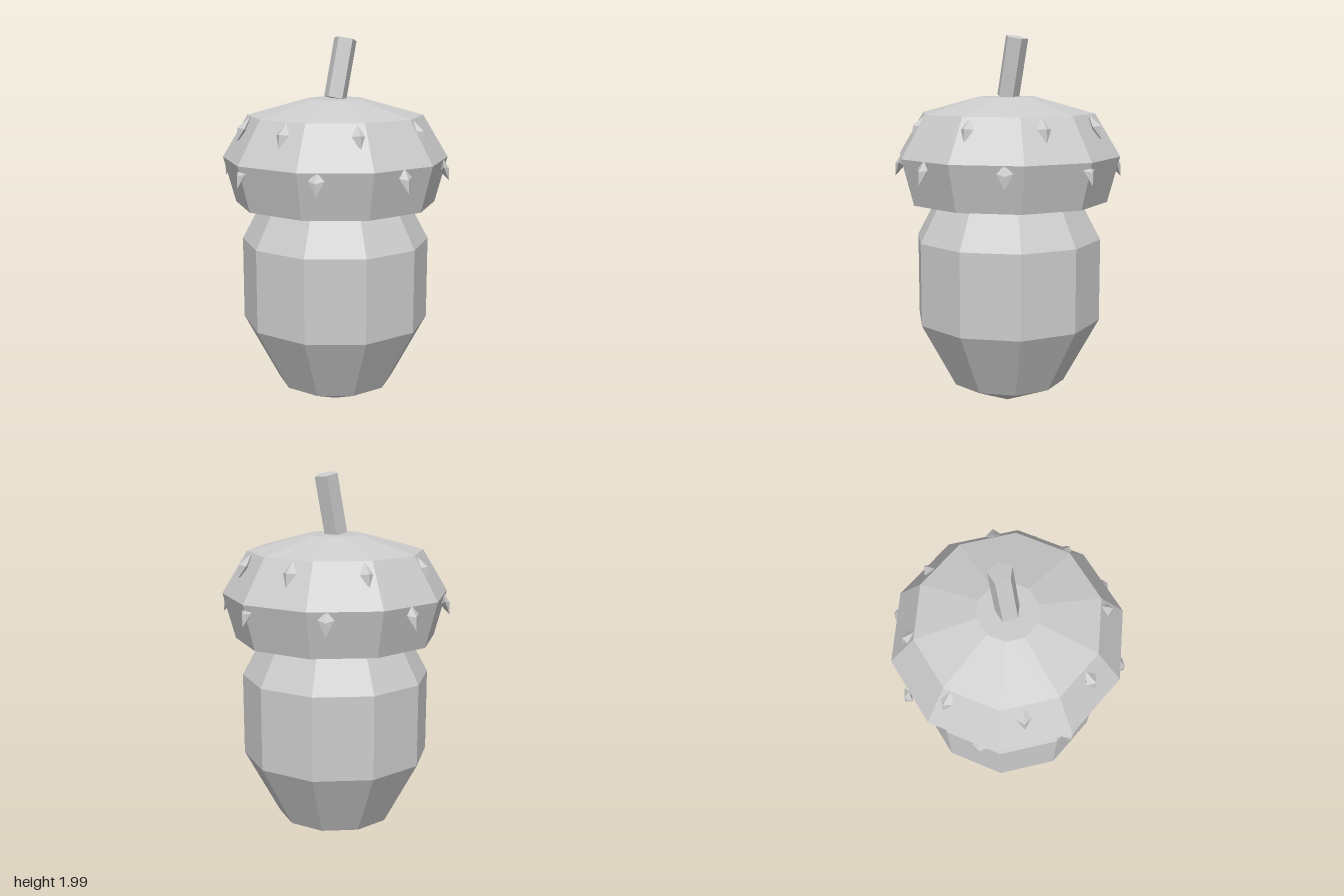
import * as THREE from 'three';
import { ConvexGeometry } from 'three/addons/geometries/ConvexGeometry.js';

const SIDES = 10;

export function createModel() {
  const model = new THREE.Group();
  model.name = 'acorn';
  const grey = new THREE.MeshStandardMaterial({ color: 0xcccccc, flatShading: true });
  grey.name = 'plain grey';

  const add = (parent, name, geometry) => {
    const mesh = new THREE.Mesh(geometry, grey);
    mesh.name = name;
    parent.add(mesh);
    return mesh;
  };

  // Ten-sided turned shape, profile listed from bottom to top, with a corner on +x
  const turned = (profile) => new THREE.LatheGeometry(
    profile.map(([r, y]) => new THREE.Vector2(r, y)), SIDES, Math.PI / 2, Math.PI * 2);

  // Nut, running up inside the cap
  add(model, 'nut', turned([
    [0, 0.005], [0.31, 0.14], [0.5, 0.49], [0.5, 0.93], [0.39, 1.135], [0.36, 1.2], [0, 1.2],
  ]));

  // Cap with flat underside and small flat crown
  add(model, 'cap', turned([
    [0, 1.132], [0.532, 1.132], [0.597, 1.373], [0.463, 1.595], [0.153, 1.68], [0, 1.68],
  ]));

  // Five-sided stem leaning to +x
  const stem = add(model, 'stem', new THREE.CylinderGeometry(0.062, 0.062, 0.312, 5));
  stem.position.set(0.033, 1.834, 0);
  stem.rotation.z = -0.215;

  // Small hooked scale: [radius, y] for each key point, hanging down and outward
  const scaleShape = ({ top, side, outer, tip, inner, halfWidth }) => new ConvexGeometry([
    new THREE.Vector3(0, top[1], top[0]),
    new THREE.Vector3(-halfWidth, side[1], side[0]),
    new THREE.Vector3(halfWidth, side[1], side[0]),
    new THREE.Vector3(0, outer[1], outer[0]),
    new THREE.Vector3(0, tip[1], tip[0]),
    new THREE.Vector3(0, inner[1], inner[0]),
  ]);

  // Two staggered rows of eight scales
  const rows = [
    { name: 'lowerScales', turn: 0, shape: {
      top: [0.568, 1.378], side: [0.577, 1.335], outer: [0.602, 1.325],
      tip: [0.603, 1.26], inner: [0.555, 1.31], halfWidth: 0.04 } },
    { name: 'upperScales', turn: Math.PI / 8, shape: {
      top: [0.452, 1.592], side: [0.487, 1.535], outer: [0.518, 1.54],
      tip: [0.523, 1.47], inner: [0.46, 1.51], halfWidth: 0.037 } },
  ];
  for (const { name, turn, shape } of rows) {
    const row = new THREE.Group();
    row.name = name;
    const geometry = scaleShape(shape);
    for (let i = 0; i < 8; i++) {
      add(row, 'scale', geometry).rotation.y = turn + i * Math.PI / 4;
    }
    model.add(row);
  }

  return model;
}
